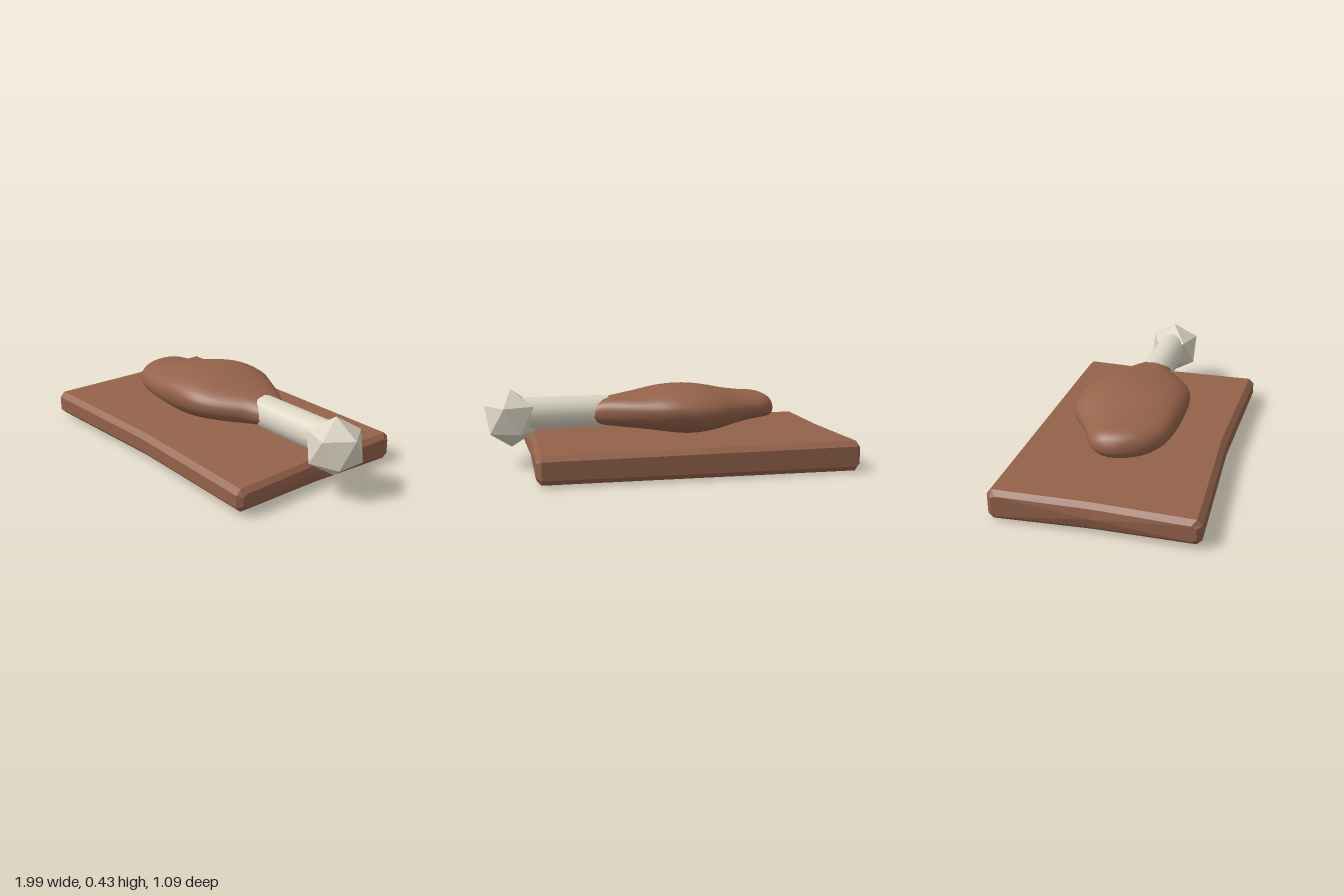
import * as THREE from 'three';

// Skin a list of rings running along +x (each going from +z up to +y) and close both ends.
function loft(rings) {
  const n = rings[0].length, pos = [], idx = [];
  rings.forEach(r => r.forEach(p => pos.push(p.x, p.y, p.z)));
  for (let i = 0; i < rings.length - 1; i++) {
    for (let j = 0; j < n; j++) {
      const k = (j + 1) % n, a = i * n + j, b = i * n + k;
      idx.push(a, a + n, b, b, a + n, b + n);
    }
  }
  [0, rings.length - 1].forEach((r, end) => {
    const c = rings[r].reduce((s, p) => s.add(p), new THREE.Vector3()).divideScalar(n);
    const m = pos.length / 3;
    pos.push(c.x, c.y, c.z);
    for (let j = 0; j < n; j++) {
      const a = r * n + j, b = r * n + (j + 1) % n;
      idx.push(m, end ? b : a, end ? a : b);
    }
  });
  const g = new THREE.BufferGeometry();
  g.setAttribute('position', new THREE.Float32BufferAttribute(pos, 3));
  g.setIndex(idx);
  g.computeVertexNormals();
  return g;
}

// Slightly warped board with chamfered edges and pinched middles.
function boardGeometry() {
  const top = (x, z) => 0.156 - 0.012 * z - 0.003 * x;
  const bottom = (x, z) => 0.012 + 0.016 * z + 0.004 * x;
  const stations = [[-0.995, 0.025], [-0.97, 0], [-0.12, 0], [0.73, 0], [0.755, 0.025]];
  const rings = stations.map(([x, inset]) => {
    const front = (x === -0.12 ? 0.515 : 0.543) - inset;
    const back = -0.55 + inset;
    const c = 0.028;
    const pinch = x === -0.12 ? 0 : -Math.sign(x) * 0.015;
    const t = z => new THREE.Vector3(x, top(x, z) - inset, z);
    const b = z => new THREE.Vector3(x, bottom(x, z) + inset, z);
    const side = (z, up) => new THREE.Vector3(x,
      up ? top(x, z) - c - inset * 0.4 : bottom(x, z) + c + inset * 0.4, z);
    const midTop = t(0), midBottom = b(0);
    midTop.x += pinch;
    midBottom.x += pinch;
    return [side(front, false), side(front, true), t(front - c), midTop, t(back + c),
      side(back, true), side(back, false), b(back + c), midBottom, b(front - c)];
  });
  const g = loft(rings).toNonIndexed();
  g.computeVertexNormals();
  return g;
}

// Lumpy roast body: stations of x, back z, front z, low y, high y.
function meatGeometry() {
  const stations = [
    [-0.66, -0.04, 0.03, 0.265, 0.305],
    [-0.635, -0.10, 0.11, 0.235, 0.345],
    [-0.58, -0.145, 0.20, 0.222, 0.372],
    [-0.49, -0.185, 0.25, 0.212, 0.378],
    [-0.39, -0.25, 0.275, 0.198, 0.392],
    [-0.29, -0.31, 0.288, 0.178, 0.414],
    [-0.19, -0.332, 0.293, 0.164, 0.43],
    [-0.09, -0.326, 0.292, 0.163, 0.433],
    [0.01, -0.305, 0.282, 0.176, 0.424],
    [0.11, -0.26, 0.245, 0.19, 0.405],
    [0.21, -0.21, 0.18, 0.202, 0.39],
    [0.30, -0.155, 0.115, 0.212, 0.376],
    [0.37, -0.115, 0.085, 0.222, 0.358],
    [0.41, -0.09, 0.06, 0.245, 0.325],
  ];
  const curve = (lo, hi) => new THREE.CatmullRomCurve3(stations.map(s =>
    new THREE.Vector3(s[0], (s[lo] + s[hi]) / 2, (s[hi] - s[lo]) / 2)), false, 'catmullrom');
  const width = curve(1, 2), height = curve(3, 4);
  const squash = v => Math.sign(v) * Math.abs(v) ** 0.9;
  const rings = [];
  for (let i = 0; i <= 40; i++) {
    const w = width.getPoint(i / 40), h = height.getPoint(i / 40), ring = [];
    for (let j = 0; j < 40; j++) {
      const a = j / 40 * Math.PI * 2;
      const lump = 1 + 0.025 * (Math.sin(3 * a + 5 * w.x) - 1) * Math.cos(a) ** 2;
      ring.push(new THREE.Vector3(w.x,
        h.y + h.z * squash(Math.sin(a)) * lump,
        w.y + w.z * squash(Math.cos(a)) * lump));
    }
    rings.push(ring);
  }
  return loft(rings);
}

export function createModel() {
  const group = new THREE.Group();
  const brown = new THREE.MeshStandardMaterial({ color: 0x94624a });
  const ivory = new THREE.MeshStandardMaterial({ color: 0xdbd4c3 });
  brown.name = 'roasted brown';
  ivory.name = 'bone ivory';

  const add = (name, geometry, material) => {
    const mesh = new THREE.Mesh(geometry, material);
    mesh.name = name;
    group.add(mesh);
    return mesh;
  };

  add('board', boardGeometry(), brown);
  add('meat', meatGeometry(), brown);

  // Bone shaft lying along x, with a faceted knob standing on one corner.
  const shaft = add('boneShaft', new THREE.CylinderGeometry(0.091, 0.091, 0.53, 16), ivory);
  shaft.rotation.z = -Math.PI / 2;
  shaft.position.set(0.575, 0.291, -0.006);

  const knob = add('boneKnob', new THREE.IcosahedronGeometry(0.162, 0), ivory);
  knob.rotation.z = -Math.atan(2 / (1 + Math.sqrt(5)));
  knob.position.set(0.85, 0.268, -0.004);

  return group;
}
